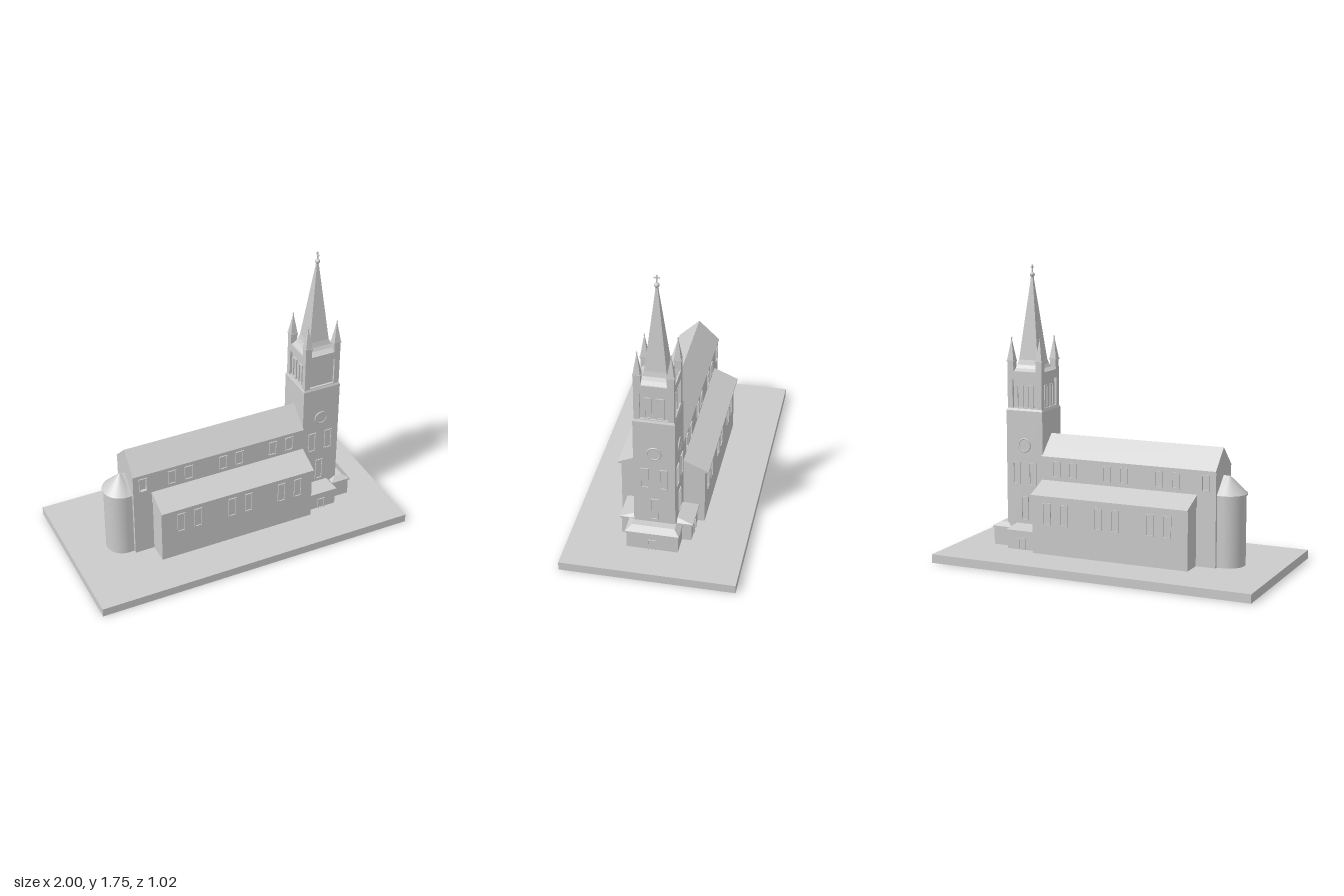
import * as THREE from 'three';

const flat = new THREE.MeshStandardMaterial({ color: 0xcccccc, flatShading: true });
const smooth = new THREE.MeshStandardMaterial({ color: 0xcccccc });

function add(parent, name, geometry, x = 0, y = 0, z = 0, material = flat) {
  const mesh = new THREE.Mesh(geometry, material);
  mesh.name = name;
  mesh.position.set(x, y, z);
  parent.add(mesh);
  return mesh;
}

// Box given by its limits
function block(parent, name, x0, x1, y0, y1, z0, z1) {
  return add(parent, name, new THREE.BoxGeometry(x1 - x0, y1 - y0, z1 - z0),
    (x0 + x1) / 2, (y0 + y1) / 2, (z0 + z1) / 2);
}

// Box whose top is w1 x d1 and whose bottom is w0 x d0
function taper(w0, d0, y0, y1, w1, d1) {
  const g = new THREE.BoxGeometry(1, y1 - y0, 1);
  const p = g.attributes.position;
  for (let i = 0; i < p.count; i++) {
    const top = p.getY(i) > 0;
    p.setX(i, p.getX(i) * (top ? w1 : w0));
    p.setZ(i, p.getZ(i) * (top ? d1 : d0));
  }
  g.translate(0, (y0 + y1) / 2, 0);
  g.computeVertexNormals();
  return g;
}

// Cross-section of [z, y] points, extruded from x0 to x1
function prism(points, x0, x1) {
  const shape = new THREE.Shape(points.map(([z, y]) => new THREE.Vector2(-z, y)));
  const g = new THREE.ExtrudeGeometry(shape, { depth: x1 - x0, bevelEnabled: false });
  return g.rotateY(Math.PI / 2).translate(x0, 0, 0);
}

function rect(path, x0, x1, y0, y1) {
  path.moveTo(x0, y0);
  path.lineTo(x1, y0);
  path.lineTo(x1, y1);
  path.lineTo(x0, y1);
  path.closePath();
  return path;
}

// Rectangular slab facing +z with a rectangular opening
function frame(w, h, border, depth) {
  const shape = rect(new THREE.Shape(), -w / 2, w / 2, -h / 2, h / 2);
  shape.holes.push(rect(new THREE.Path(), -w / 2 + border, w / 2 - border, -h / 2 + border, h / 2 - border));
  return new THREE.ExtrudeGeometry(shape, { depth, bevelEnabled: false });
}

// Group turned so that its +z is the outward direction of a wall
function side(parent, name, angle) {
  const g = new THREE.Group();
  g.name = name;
  g.rotation.y = angle;
  parent.add(g);
  return g;
}

function buildNave(church) {
  const x0 = -0.64, x1 = 0.47, half = 0.12;
  const pairs = [-0.394, -0.287, -0.064, 0.044, 0.264, 0.373];
  const bay = -0.577;
  for (const s of [1, -1]) {
    // Clerestory wall with one open window in the end bay
    const shape = rect(new THREE.Shape(), x0, x1, 0.05, 0.61);
    shape.holes.push(rect(new THREE.Path(), bay - 0.022, bay + 0.022, 0.5, 0.586));
    const wall = new THREE.ExtrudeGeometry(shape, { depth: 0.015, bevelEnabled: false });
    add(church, 'naveWall', wall, 0, 0, s > 0 ? half - 0.015 : -half);

    // Lean-to aisle
    block(church, 'aisleWall', -0.52, x1, 0.05, 0.405, s > 0 ? 0.11 : -0.247, s > 0 ? 0.247 : -0.11);
    add(church, 'aisleRoof', prism([[0.115, 0.475], [0.268, 0.41], [0.268, 0.4], [0.115, 0.4]]
      .map(([z, y]) => [s * z, y]), -0.525, x1));

    // Window frames
    const wallSide = side(church, 'naveWindows', s > 0 ? 0 : Math.PI);
    for (const x of [bay, ...pairs])
      add(wallSide, 'clerestoryWindow', frame(0.052, 0.094, 0.006, 0.008), s * x, 0.543, half - 0.001);
    for (const x of pairs)
      add(wallSide, 'aisleWindow', frame(0.05, 0.13, 0.006, 0.008), s * x, 0.298, 0.246);
  }
  block(church, 'gableWall', x0, x0 + 0.015, 0.05, 0.61, -half, half);
  add(church, 'naveRoof', prism([[-0.126, 0.61], [0.126, 0.61], [0.126, 0.617], [0, 0.737], [-0.126, 0.617]], x0, x1));
}

function buildApse(church) {
  const cx = -0.675;
  add(church, 'apseWall', new THREE.CylinderGeometry(0.1, 0.1, 0.42, 40), cx, 0.26, 0, smooth);
  block(church, 'apseLink', cx, -0.635, 0.05, 0.47, -0.1, 0.1);
  add(church, 'apseRoof', new THREE.CylinderGeometry(0.006, 0.108, 0.1, 40), cx, 0.525, 0, smooth);
  add(church, 'apseEave', new THREE.CylinderGeometry(0.108, 0.108, 0.008, 40), cx, 0.471, 0, smooth);
  add(church, 'apseRoofLink', prism([[-0.108, 0.467], [0.108, 0.467], [0.108, 0.475], [0, 0.575], [-0.108, 0.475]], cx, -0.635));
}

function buildTower(church) {
  const tower = new THREE.Group();
  tower.name = 'tower';
  tower.position.x = 0.585;
  church.add(tower);

  block(tower, 'towerShaft', -0.12, 0.12, 0.05, 0.88, -0.12, 0.12);
  add(tower, 'towerShoulder', taper(0.24, 0.24, 0.88, 0.893, 0.228, 0.228));
  block(tower, 'belfryCore', -0.1, 0.1, 0.89, 1.115, -0.1, 0.1);

  for (let i = 0; i < 4; i++) {
    const face = side(tower, 'towerFace', i * Math.PI / 2);
    // Belfry wall with its recessed panel
    const wall = rect(new THREE.Shape(), -0.114, 0.114, 0.89, 1.115);
    wall.holes.push(rect(new THREE.Path(), -0.08, 0.08, 0.897, 1.065));
    add(face, 'belfryWall', new THREE.ExtrudeGeometry(wall, { depth: 0.014, bevelEnabled: false }), 0, 0, 0.1);
    if (i > 0) for (const x of [-0.036, 0.036])
      add(face, 'belfryOpening', frame(0.042, 0.135, 0.007, 0.008), x, 0.965, 0.099);
    if (i === 3) continue; // this side meets the nave
    // Clock ring and face
    add(face, 'clockRing', new THREE.TorusGeometry(0.038, 0.005, 8, 32), 0, 0.673, 0.122, smooth);
    add(face, 'clockFace', new THREE.CylinderGeometry(0.037, 0.037, 0.008, 32).rotateX(Math.PI / 2), 0, 0.673, 0.12);
    // Shaft windows
    for (const x of [-0.054, 0.054])
      add(face, 'towerWindow', frame(0.048, 0.135, 0.006, 0.008), x, 0.5, 0.119);
    add(face, 'lowerWindow', frame(0.048, 0.145, 0.006, 0.008), 0, 0.285, 0.119);
  }

  // Flared spire
  const profile = [[0.21, 1.115], [0.165, 1.13], [0.14, 1.15], [0.124, 1.18], [0.012, 1.67]];
  for (let i = 0; i < profile.length - 1; i++) {
    const [w0, y0] = profile[i], [w1, y1] = profile[i + 1];
    add(tower, 'spire', taper(w0, w0, y0, y1, w1, w1));
  }
  add(tower, 'spireCollar', new THREE.CylinderGeometry(0.01, 0.01, 0.006, 16), 0, 1.665, 0);
  add(tower, 'spireBall', new THREE.SphereGeometry(0.015, 20, 14), 0, 1.685, 0, smooth);
  block(tower, 'crossPost', -0.003, 0.003, 1.69, 1.745, -0.003, 0.003);
  block(tower, 'crossArm', -0.003, 0.003, 1.726, 1.732, -0.017, 0.017);

  // Corner pinnacles
  for (const sx of [-1, 1]) for (const sz of [-1, 1]) {
    const pinnacle = new THREE.Group();
    pinnacle.name = 'pinnacle';
    pinnacle.position.set(sx * 0.094, 0, sz * 0.094);
    tower.add(pinnacle);
    block(pinnacle, 'pinnacleBase', -0.02, 0.02, 1.1, 1.175, -0.02, 0.02);
    block(pinnacle, 'pinnacleEave', -0.023, 0.023, 1.172, 1.179, -0.023, 0.023);
    add(pinnacle, 'pinnacleCap', taper(0.042, 0.042, 1.179, 1.295, 0.006, 0.006));
    add(pinnacle, 'pinnacleFinial', new THREE.CylinderGeometry(0.002, 0.003, 0.03, 8), 0, 1.303, 0);
    add(pinnacle, 'pinnacleBall', new THREE.SphereGeometry(0.005, 10, 8), 0, 1.31, 0, smooth);
  }
}

function buildPorches(church) {
  // Side porches run through the tower base
  block(church, 'sidePorch', 0.475, 0.66, 0.05, 0.16, -0.205, 0.205);
  block(church, 'sidePorchEave', 0.47, 0.665, 0.158, 0.17, -0.215, 0.215);
  add(church, 'sidePorchRoof', taper(0.195, 0.43, 0.17, 0.192, 0.15, 0.25), 0.5675);
  // End porch
  block(church, 'endPorch', 0.665, 0.782, 0.05, 0.16, -0.15, 0.15);
  block(church, 'endPorchEave', 0.66, 0.79, 0.158, 0.168, -0.157, 0.157);
  add(church, 'endPorchRoof', taper(0.13, 0.314, 0.168, 0.192, 0.05, 0.25), 0.725);
  // Door surrounds
  for (const [angle, x, d] of [[0, 0.565, 0.204], [Math.PI, -0.565, 0.204], [Math.PI / 2, 0, 0.781]])
    add(side(church, 'doorway', angle), 'door', frame(0.048, 0.072, 0.006, 0.007), x, 0.084, d);
}

export function createModel() {
  const model = new THREE.Group();
  model.name = 'church';
  block(model, 'ground', -1, 1, 0, 0.052, -0.51, 0.51);
  const church = new THREE.Group();
  church.name = 'building';
  church.position.z = 0.0125;
  model.add(church);
  buildNave(church);
  buildApse(church);
  buildTower(church);
  buildPorches(church);
  return model;
}
